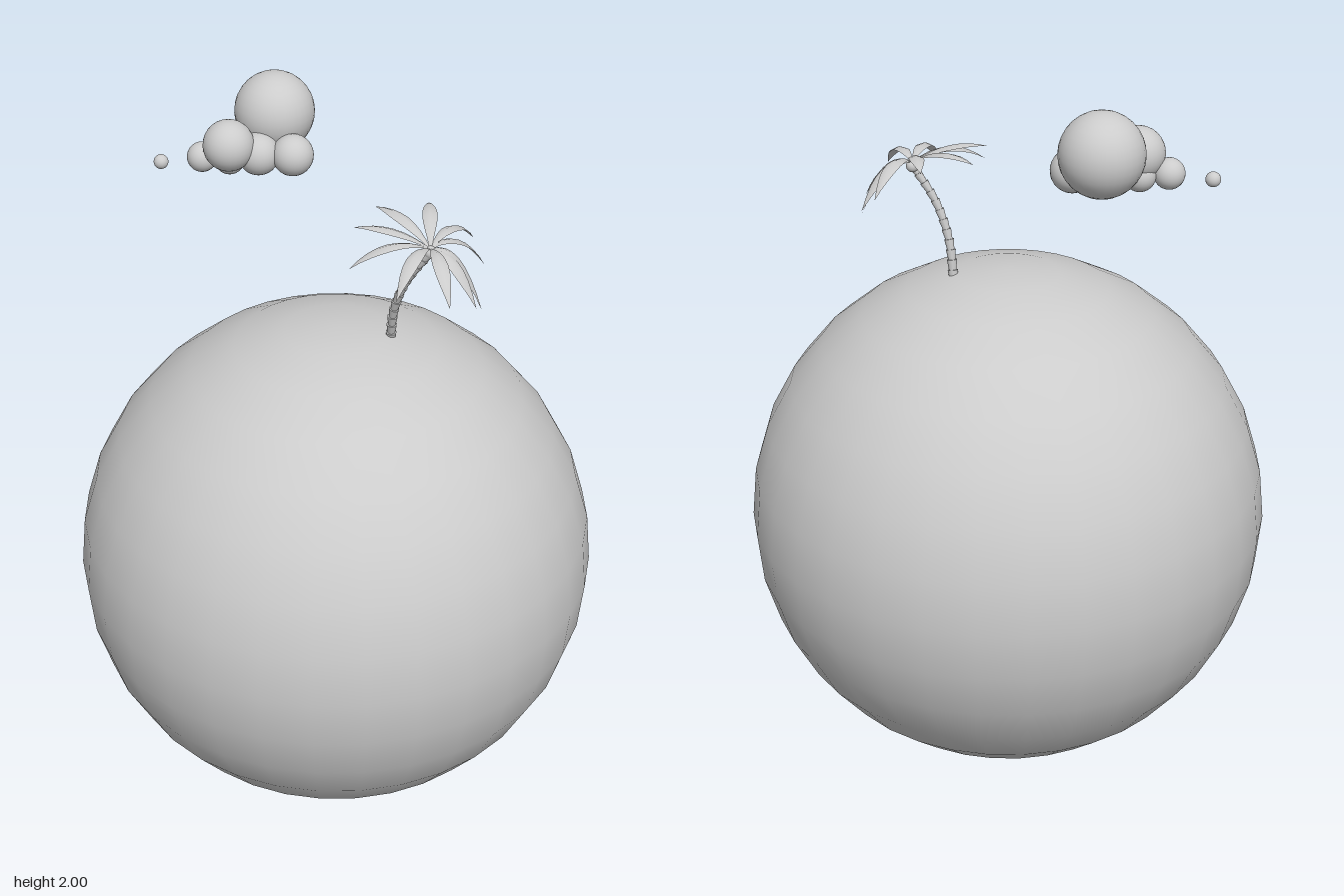
import * as THREE from 'three';

const grey = new THREE.MeshStandardMaterial({ color: 0xcccccc });
const leafGrey = new THREE.MeshStandardMaterial({ color: 0xcccccc, side: THREE.DoubleSide });

function addMesh(parent, name, geometry, material = grey) {
  const mesh = new THREE.Mesh(geometry, material);
  mesh.name = name;
  parent.add(mesh);
  return mesh;
}

function ball(parent, name, x, y, z, r) {
  addMesh(parent, name, new THREE.SphereGeometry(r, 32, 16)).position.set(x, y, z);
}

// A folded leaf blade swept along an arc: left edge, raised midrib, right edge
function frondGeometry(start, tip, rise, width) {
  const control = start.clone().lerp(tip, 0.5);
  control.y += rise;
  const arc = new THREE.QuadraticBezierCurve3(start, control, tip);
  const side = tip.clone().sub(start).cross(new THREE.Vector3(0, 1, 0)).normalize();
  const positions = [], indices = [], steps = 8;
  for (let i = 0; i <= steps; i++) {
    const t = i / steps;
    const p = arc.getPoint(t);
    const half = width * (0.12 * (1 - t) + 0.9 * Math.sin(Math.PI * Math.pow(t, 1.1))) / 2;
    for (const s of [-1, 0, 1]) {
      positions.push(p.x + side.x * half * s, p.y - Math.abs(s) * half * 0.4, p.z + side.z * half * s);
    }
    if (i === steps) break;
    for (const k of [0, 1]) {
      const a = i * 3 + k, b = a + 1, c = a + 3, d = a + 4;
      indices.push(a, b, c, b, d, c);
    }
  }
  const geometry = new THREE.BufferGeometry();
  geometry.setAttribute('position', new THREE.Float32BufferAttribute(positions, 3));
  geometry.setIndex(indices);
  geometry.computeVertexNormals();
  return geometry;
}

function createPalm() {
  const palm = new THREE.Group();
  palm.name = 'palmTree';

  // Trunk: stacked flared segments along a leaning curve
  const path = new THREE.CatmullRomCurve3([
    new THREE.Vector3(0.147, 1.41, 0.005),
    new THREE.Vector3(0.157, 1.52, 0.03),
    new THREE.Vector3(0.19, 1.62, 0.057),
    new THREE.Vector3(0.25, 1.715, 0.08),
  ]);
  const segments = 12, up = new THREE.Vector3(0, 1, 0);
  for (let i = 0; i < segments; i++) {
    const a = path.getPointAt(i / segments);
    const b = path.getPointAt((i + 1) / segments);
    const dir = b.clone().sub(a);
    const r = 0.0145 - 0.003 * i / segments;
    const piece = addMesh(palm, 'trunkSegment',
      new THREE.CylinderGeometry(r, r * 0.72, dir.length() * 1.1, 10));
    piece.position.copy(a).lerp(b, 0.5);
    piece.quaternion.setFromUnitVectors(up, dir.normalize());
  }

  // Crown: fronds listed as tip x, y, z and arch height
  const crown = new THREE.Vector3(0.25, 1.725, 0.075);
  ball(palm, 'crownKnot', crown.x, crown.y - 0.01, crown.z, 0.017);
  const tips = [
    [0.236, 1.76, -0.12, 0.07],
    [0.097, 1.765, -0.075, 0.06],
    [0.05, 1.77, 0.06, 0.05],
    [0.046, 1.70, 0.157, 0.08],
    [0.174, 1.67, 0.265, 0.10],
    [0.31, 1.66, 0.272, 0.09],
    [0.375, 1.605, 0.165, 0.09],
    [0.388, 1.57, 0.106, 0.12],
    [0.39, 1.63, -0.03, 0.10],
    [0.356, 1.68, -0.087, 0.10],
  ];
  for (const [x, y, z, rise] of tips) {
    addMesh(palm, 'frond', frondGeometry(crown, new THREE.Vector3(x, y, z), rise, 0.042), leafGrey);
  }
  return palm;
}

export function createModel() {
  const model = new THREE.Group();
  model.name = 'tinyPlanet';

  // Planet
  ball(model, 'planet', 0, 0.722, 0, 0.722);

  // Cloud: x, y, z and radius of each puff
  const cloud = new THREE.Group();
  cloud.name = 'cloud';
  const puffs = [
    [-0.2, 1.89, -0.38, 0.11],
    [-0.31, 1.845, -0.245, 0.07],
    [-0.14, 1.812, -0.27, 0.057],
    [-0.233, 1.812, -0.27, 0.058],
    [-0.387, 1.797, -0.27, 0.041],
    [-0.312, 1.794, -0.27, 0.042],
    [-0.5, 1.778, -0.27, 0.02],
  ];
  for (const p of puffs) ball(cloud, 'cloudPuff', ...p);
  model.add(cloud);

  model.add(createPalm());
  return model;
}
